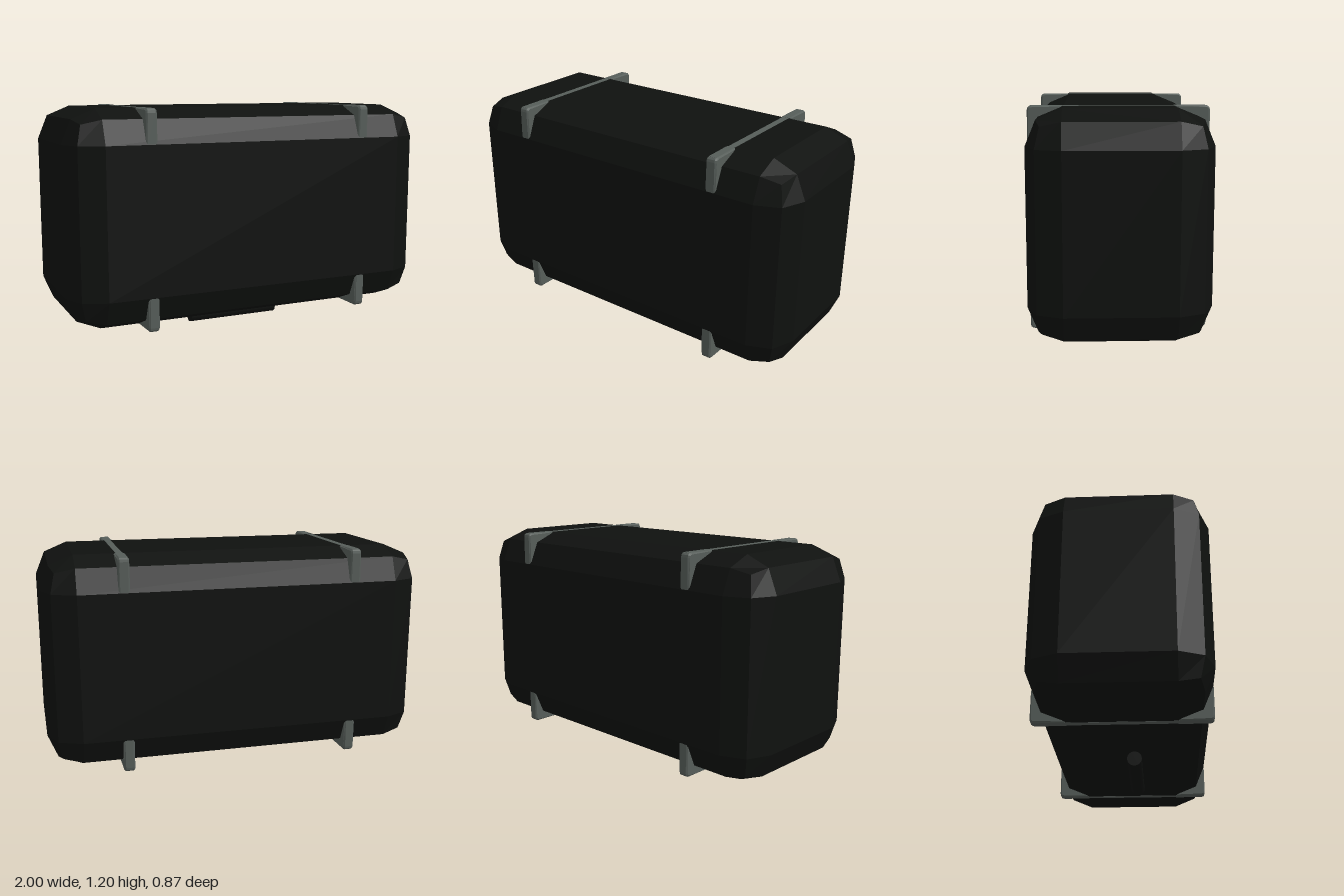
import * as THREE from 'three';
import { RoundedBoxGeometry } from 'three/addons/geometries/RoundedBoxGeometry.js';

const MID_Y = 0.645, HALF_H = 0.551, HALF_D = 0.436;

// Extrude a shape drawn in the depth/height plane, centred on its thickness along x
function sideExtrude(shape, thickness, bevel = 0) {
  const depth = thickness - 2 * bevel;
  const geo = new THREE.ExtrudeGeometry(shape, {
    depth, bevelEnabled: bevel > 0, bevelThickness: bevel,
    bevelSize: bevel, bevelOffset: -bevel, bevelSegments: 1, curveSegments: 3,
  });
  geo.translate(0, 0, -depth / 2);
  return geo.rotateY(Math.PI / 2);
}

function rectangle(path, w, h) {
  path.moveTo(-w, -h);
  path.lineTo(w, -h);
  path.lineTo(w, h);
  path.lineTo(-w, h);
  path.closePath();
  return path;
}

// Triangular corner filler; sz and sy select the corner
function gussetShape(sz, sy) {
  const leg = 0.172, r = 0.022;
  const s = new THREE.Shape();
  const z = (inset) => sz * (HALF_D + 0.001 - inset);
  const y = (inset) => sy * (HALF_H + 0.001 - inset);
  s.moveTo(z(0), y(leg));
  s.lineTo(z(0), y(r));
  s.quadraticCurveTo(z(0), y(0), z(r), y(0));
  s.lineTo(z(leg), y(0));
  s.closePath();
  return s;
}

export function createModel() {
  const model = new THREE.Group();
  model.name = 'strappedCase';
  const dark = new THREE.MeshStandardMaterial({ color: 0x0f110f, flatShading: true });
  const smoothDark = new THREE.MeshStandardMaterial({ color: 0x0f110f });
  const grey = new THREE.MeshStandardMaterial({ color: 0x565d59 });

  function add(parent, name, geo, mat) {
    const mesh = new THREE.Mesh(geo, mat);
    mesh.name = name;
    parent.add(mesh);
    return mesh;
  }

  // Main body with two-step bevelled edges
  const body = add(model, 'body', new RoundedBoxGeometry(2, 1.1, 0.87, 1, 0.172), dark);
  body.position.y = MID_Y;

  // Two straps, each a thin band with a gusset at every corner
  for (const side of [-1, 1]) {
    const strap = new THREE.Group();
    strap.name = side > 0 ? 'leftStrap' : 'rightStrap';
    strap.position.set(side * 0.6, MID_Y, 0);
    const band = rectangle(new THREE.Shape(), HALF_D, HALF_H);
    band.holes.push(rectangle(new THREE.Path(), HALF_D - 0.025, HALF_H - 0.025));
    // Trim the sharp band corners so that they stay inside the gussets
    const trimmed = sideExtrude(band, 0.034);
    const p = trimmed.attributes.position;
    for (let i = 0; i < p.count; i++) {
      if (Math.abs(p.getY(i)) > HALF_H - 0.01) {
        p.setZ(i, Math.sign(p.getZ(i)) * (HALF_D - 0.012));
        p.setY(i, Math.sign(p.getY(i)) * HALF_H);
      }
    }
    trimmed.computeVertexNormals();
    add(strap, 'band', trimmed, grey);
    for (const sz of [-1, 1]) for (const sy of [-1, 1])
      add(strap, 'cornerGusset', sideExtrude(gussetShape(sz, sy), 0.056, 0.008), grey);
    model.add(strap);
  }

  // Round bar beneath the body
  const bar = add(model, 'lowerBar', new THREE.CylinderGeometry(0.0375, 0.0375, 0.52, 32), smoothDark);
  bar.rotation.z = Math.PI / 2;
  bar.position.set(0, 0.0375, 0.045);

  return model;
}
